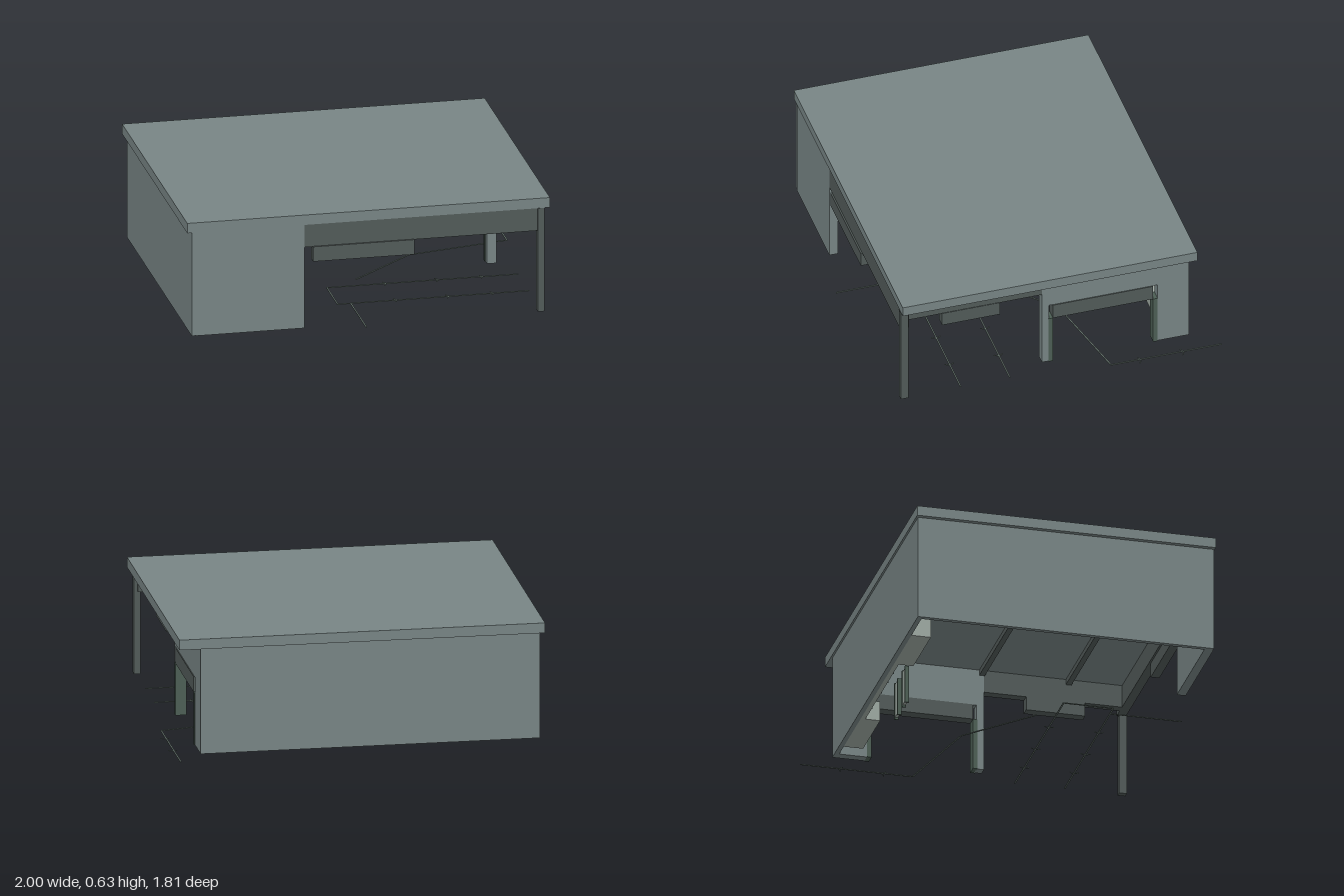
import * as THREE from 'three';

const mat = (name, color) => {
  const m = new THREE.MeshStandardMaterial({ color });
  m.name = name;
  return m;
};

export function createModel() {
  const group = new THREE.Group();
  const wall = mat('greyWall', 0x788585);
  const dark = mat('darkPanel', 0x525b59);
  const pale = mat('paleCabinet', 0x9faaa3);
  const green = mat('greenFrame', 0x4d5f55);
  const paint = mat('groundMarking', 0x65736d);

  // Box given by its limits on each axis
  const box = (name, m, x0, x1, y0, y1, z0, z1) => {
    const mesh = new THREE.Mesh(new THREE.BoxGeometry(x1 - x0, y1 - y0, z1 - z0), m);
    mesh.position.set((x0 + x1) / 2, (y0 + y1) / 2, (z0 + z1) / 2);
    mesh.name = name;
    group.add(mesh);
    return mesh;
  };

  // Roof slab and ceiling beams
  box('roof', wall, -1, 0.95, 0.575, 0.63, -0.78, 0.84);
  for (const z of [0.03, 0.5]) box('ceilingBeam', dark, -0.8, 0.785, 0.545, 0.575, z - 0.015, z + 0.015);

  // Outer walls
  box('leftWall', wall, -0.975, -0.95, 0, 0.575, -0.77, 0.835);
  box('backWall', wall, -0.95, 0.835, 0, 0.575, -0.77, -0.745);
  box('frontWall', wall, -0.95, -0.37, 0, 0.575, 0.79, 0.838);

  // Right wall with its doorway
  box('rightWallRear', wall, 0.785, 0.835, 0, 0.575, -0.745, -0.595);
  box('rightWallFront', wall, 0.785, 0.835, 0, 0.575, 0, 0.04);
  box('rightWallTop', wall, 0.785, 0.835, 0.37, 0.575, -0.595, 0);
  box('doorHeader', dark, 0.78, 0.84, 0.285, 0.37, -0.57, -0.02);
  for (const z of [-0.595, -0.02]) box('doorPost', green, 0.78, 0.84, 0, 0.285, z, z + 0.025);

  // Open corner: fascias, hanging signs and pillar
  box('frontFascia', dark, -0.37, 0.9, 0.45, 0.575, 0.79, 0.838);
  box('rightFascia', dark, 0.785, 0.835, 0.45, 0.575, 0.04, 0.79);
  box('frontSign', dark, -0.325, 0.22, 0.37, 0.452, 0.8, 0.847);
  box('rightSign', dark, 0.785, 0.838, 0.375, 0.452, 0.27, 0.59);
  box('cornerPillar', dark, 0.885, 0.92, 0, 0.575, 0.8, 0.842);

  // Cabinets along the back wall
  box('cabinetBase', pale, -0.74, 0.33, 0, 0.11, -0.745, -0.72);
  box('backSplash', pale, -0.74, 0.69, 0.117, 0.16, -0.745, -0.735);
  box('counterTop', dark, -0.74, 0.69, 0.11, 0.117, -0.745, -0.715);
  box('leftCabinet', pale, -0.74, -0.37, 0, 0.11, -0.745, -0.64);
  box('rightCabinet', pale, 0.33, 0.69, 0, 0.11, -0.745, -0.64);
  box('cabinetRail', wall, -0.37, 0.33, 0.025, 0.035, -0.72, -0.716);
  box('wallUnit', dark, -0.295, 0.035, 0.12, 0.195, -0.735, -0.69);
  for (const x of [-0.25, -0.135, 0, 0.2]) box('cabinetGap', wall, x - 0.003, x + 0.003, 0, 0.11, -0.72, -0.716);

  // Upright display panels with dark edges
  for (const x of [0.07, 0.23]) {
    box('displayPanel', pale, x + 0.008, x + 0.062, 0.01, 0.2, -0.57, -0.553);
    for (const dx of [0, 0.062]) box('displayEdge', green, x + dx, x + dx + 0.008, 0, 0.21, -0.572, -0.55);
  }

  // Flat ground lines between two points
  const line = (x0, z0, x1, z1, w = 0.008) => {
    const len = Math.hypot(x1 - x0, z1 - z0);
    const mesh = box('groundLine', paint, -len / 2, len / 2, 0, 0.004, -w / 2, w / 2);
    mesh.position.set((x0 + x1) / 2, 0.002, (z0 + z1) / 2);
    mesh.rotation.y = -Math.atan2(z1 - z0, x1 - x0);
  };
  // Arrow head at a point, opening backwards from the direction of travel
  const arrow = (x, z, dx, dz) => {
    for (const s of [-1, 1]) line(x, z, x - dx * 0.015 - dz * s * 0.025, z - dz * 0.015 + dx * s * 0.025, 0.005);
  };
  const path = (pts) => pts.slice(1).forEach((p, i) => line(...pts[i], ...p));
  path([[0.965, -0.91], [0.965, -0.3], [0.41, -0.18], [0.06, 0.14]]);
  path([[0.91, 0.51], [-0.12, 0.51], [-0.12, 0.24], [0.91, 0.24]]);
  path([[-0.05, 0.9], [-0.05, 0.51]]);
  for (const z of [-0.7, -0.465]) arrow(0.97, z, 0, -1);
  for (const z of [0.24, 0.51]) for (const x of [0.2, 0.48, 0.72]) arrow(x, z, 1, 0);

  return group;
}
